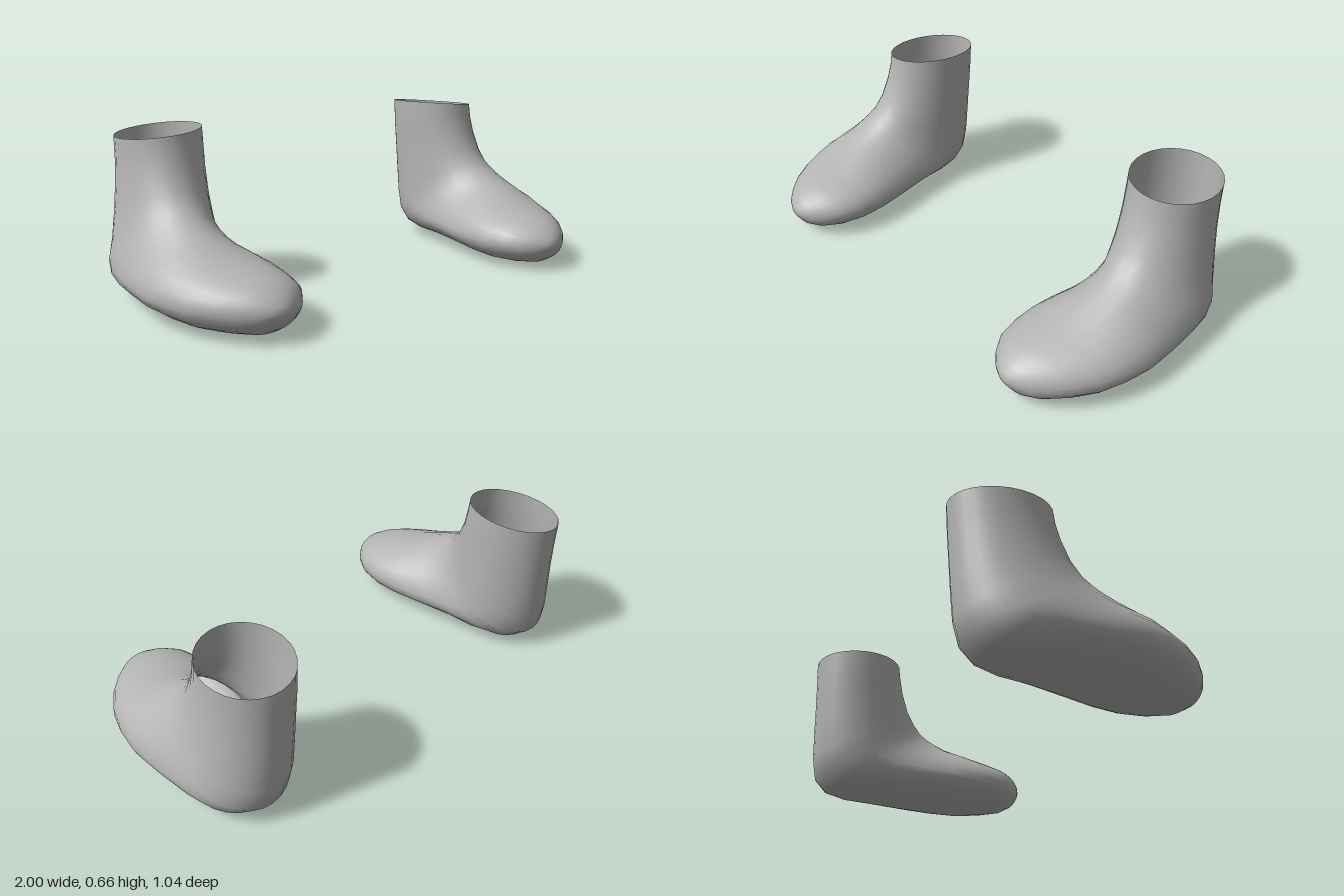
import * as THREE from 'three';

// Cross-sections from ankle opening to toe:
// [top z, top y, sole z, sole y, inner x, outer x, height of widest point 0..1, sideways tilt]
const SECTIONS = [
  [-0.12, 0.655, -0.52, 0.638, 0.56, 0.89, 0.5, 0.1],
  [-0.112, 0.6, -0.515, 0.53, 0.56, 0.892, 0.5, 0.07],
  [-0.095, 0.53, -0.51, 0.42, 0.563, 0.9, 0.5, 0.03],
  [-0.06, 0.445, -0.505, 0.3, 0.565, 0.915, 0.48, 0],
  [-0.02, 0.393, -0.497, 0.17, 0.565, 0.935, 0.45, 0],
  [0.02, 0.36, -0.475, 0.08, 0.565, 0.96, 0.4, 0],
  [0.06, 0.335, -0.42, 0.03, 0.56, 0.975, 0.4, 0],
  [0.1, 0.315, -0.32, 0.012, 0.553, 0.983, 0.4, 0],
  [0.14, 0.295, -0.18, 0.014, 0.54, 0.993, 0.4, 0],
  [0.19, 0.273, 0, 0.01, 0.512, 0.998, 0.42, 0],
  [0.25, 0.25, 0.13, 0.003, 0.497, 0.98, 0.46, 0],
  [0.32, 0.232, 0.25, 0.001, 0.498, 0.948, 0.48, 0],
  [0.39, 0.215, 0.36, 0.011, 0.518, 0.895, 0.5, 0],
  [0.44, 0.198, 0.44, 0.026, 0.56, 0.838, 0.5, 0],
  [0.482, 0.172, 0.485, 0.052, 0.607, 0.785, 0.5, 0],
  [0.508, 0.142, 0.508, 0.085, 0.65, 0.735, 0.5, 0],
];
const TOE_TIP = [0.692, 0.115, 0.519];
const SIDES = 28;

// Lofts one sock; side is +1 for the left foot and -1 for the right
function sockGeometry(side) {
  const positions = [];
  const index = [];
  const face = (a, b, c) => (side > 0 ? index.push(a, b, c) : index.push(a, c, b));

  for (const [tz, ty, sz, sy, inner, outer, widest, tilt] of SECTIONS) {
    const cx = (inner + outer) / 2;
    const halfWidth = (outer - inner) / 2;
    for (let j = 0; j < SIDES; j++) {
      const angle = (j / SIDES) * Math.PI * 2;
      const up = Math.cos(angle);
      const x = cx + halfWidth * Math.sin(angle);
      // Upper and lower halves of the section differ in height
      const t = widest + up * (up > 0 ? 1 - widest : widest);
      positions.push(side * x, sy + (ty - sy) * t - tilt * (x - cx), sz + (tz - sz) * t);
    }
  }
  const tip = positions.length / 3;
  positions.push(side * TOE_TIP[0], TOE_TIP[1], TOE_TIP[2]);

  const last = SECTIONS.length - 1;
  for (let j = 0; j < SIDES; j++) {
    const k = (j + 1) % SIDES;
    for (let i = 0; i < last; i++) {
      const a = i * SIDES + j, b = i * SIDES + k;
      face(a, a + SIDES, b);
      face(b, a + SIDES, b + SIDES);
    }
    face(last * SIDES + j, tip, last * SIDES + k);
  }

  const geometry = new THREE.BufferGeometry();
  geometry.setAttribute('position', new THREE.Float32BufferAttribute(positions, 3));
  geometry.setIndex(index);
  geometry.computeVertexNormals();
  return geometry;
}

export function createModel() {
  const group = new THREE.Group();
  group.name = 'socks';
  const fabric = new THREE.MeshStandardMaterial({ color: 0xb4b4b4, side: THREE.DoubleSide });
  fabric.name = 'grey fabric';

  for (const [name, side] of [['leftSock', 1], ['rightSock', -1]]) {
    const sock = new THREE.Mesh(sockGeometry(side), fabric);
    sock.name = name;
    group.add(sock);
  }
  return group;
}
